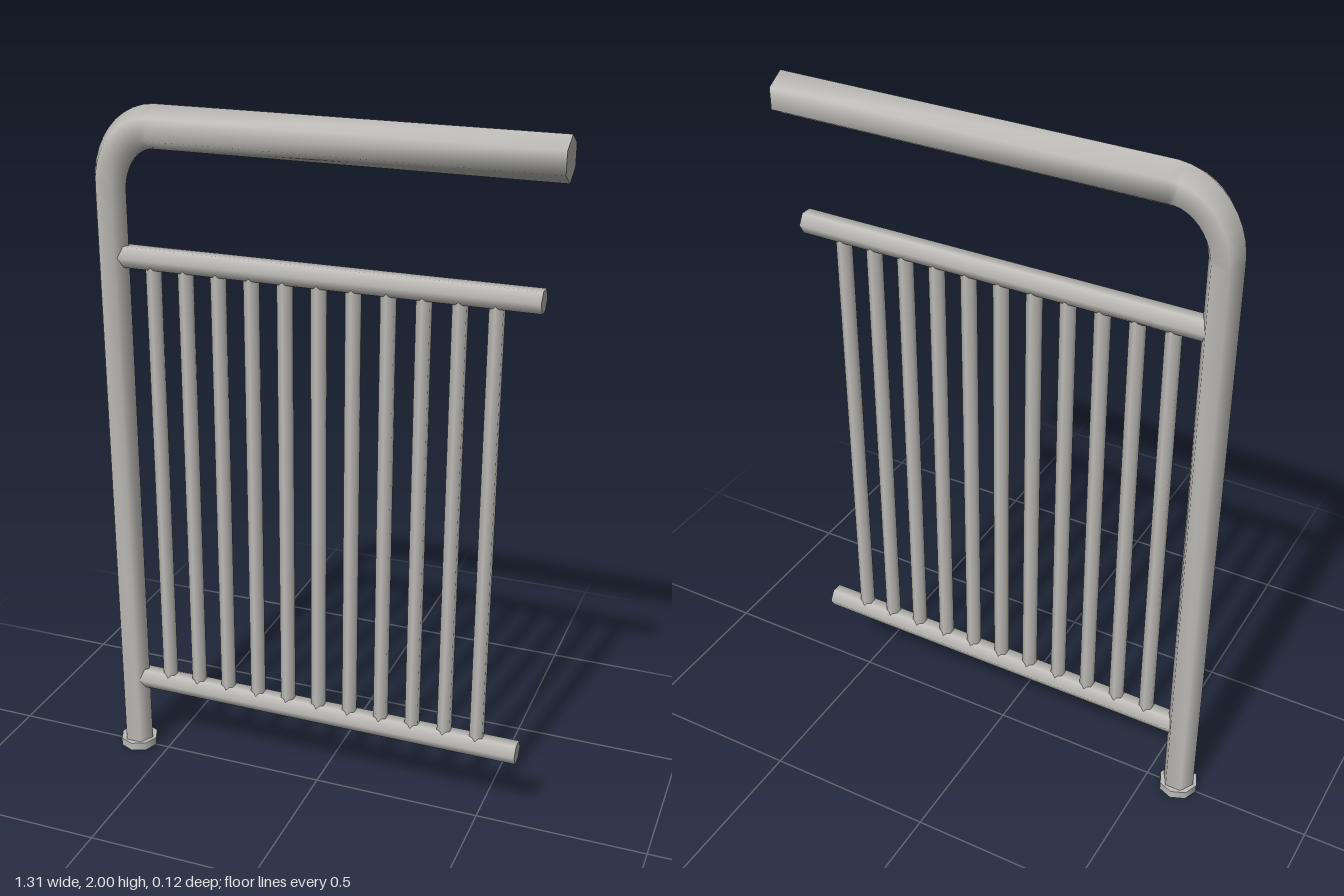
import * as THREE from 'three';

const POST_X = -0.6, POST_R = 0.047, RAIL_R = 0.06, RAIL_Y = 1.94, RAIL_END = 0.655;

// Hexagonal pipe swept through stations { x, y, a, r }, where a turns from upright (0) to level (PI / 2)
function sweptPipe(stations, sides = 6) {
  const positions = [], index = [];
  stations.forEach(({ x, y, a, r }, i) => {
    for (let j = 0; j < sides; j++) {
      const t = (j / sides) * Math.PI * 2;
      const out = Math.cos(t) * r;
      positions.push(x - Math.cos(a) * out, y + Math.sin(a) * out, Math.sin(t) * r);
      if (i === 0) continue;
      const k = (j + 1) % sides, p = (i - 1) * sides, q = i * sides;
      index.push(p + j, p + k, q + j, p + k, q + k, q + j);
    }
  });
  const geometry = new THREE.BufferGeometry();
  geometry.setAttribute('position', new THREE.Float32BufferAttribute(positions, 3));
  geometry.setIndex(index);
  geometry.computeVertexNormals();
  return geometry;
}

export function createModel() {
  const model = new THREE.Group();
  model.name = 'railing';
  const metal = new THREE.MeshStandardMaterial({ color: 0xbdbcb8 });
  metal.name = 'grey metal';

  const add = (name, geometry, x, y) => {
    const mesh = new THREE.Mesh(geometry, metal);
    mesh.name = name;
    mesh.position.set(x, y, 0);
    model.add(mesh);
    return mesh;
  };

  // Post bending over into the thicker handrail
  const stations = [{ x: POST_X, y: 0, a: 0, r: POST_R }];
  const bendX = 0.14, bendY = 0.17, steps = 10;
  for (let i = 0; i <= steps; i++) {
    const a = (i / steps) * Math.PI / 2;
    stations.push({
      x: POST_X + bendX * (1 - Math.cos(a)),
      y: RAIL_Y - bendY * (1 - Math.sin(a)),
      a,
      r: THREE.MathUtils.lerp(POST_R, RAIL_R, i / steps),
    });
  }
  stations.push({ x: RAIL_END, y: RAIL_Y, a: Math.PI / 2, r: RAIL_R });
  add('postAndHandrail', sweptPipe(stations), 0, 0);

  // Flat end of the handrail
  const cap = add('handrailEnd', new THREE.CircleGeometry(RAIL_R, 6, Math.PI / 2), RAIL_END, RAIL_Y);
  cap.rotation.y = Math.PI / 2;

  // Octagonal foot
  add('foot', new THREE.CylinderGeometry(0.058, 0.058, 0.025, 8), POST_X, 0.0125);

  // Horizontal rails
  const left = -0.58, right = 0.61;
  for (const [name, y] of [['lowerRail', 0.245], ['upperRail', 1.58]]) {
    const rail = add(name, new THREE.CylinderGeometry(0.034, 0.034, right - left, 6), (left + right) / 2, y);
    rail.rotation.z = Math.PI / 2;
  }

  // Upright bars
  const bar = new THREE.CylinderGeometry(0.022, 0.022, 1.335, 6);
  for (let i = 0; i < 11; i++) add('bar' + (i + 1), bar, -0.48 + i * 0.097, 0.9125);

  return model;
}
